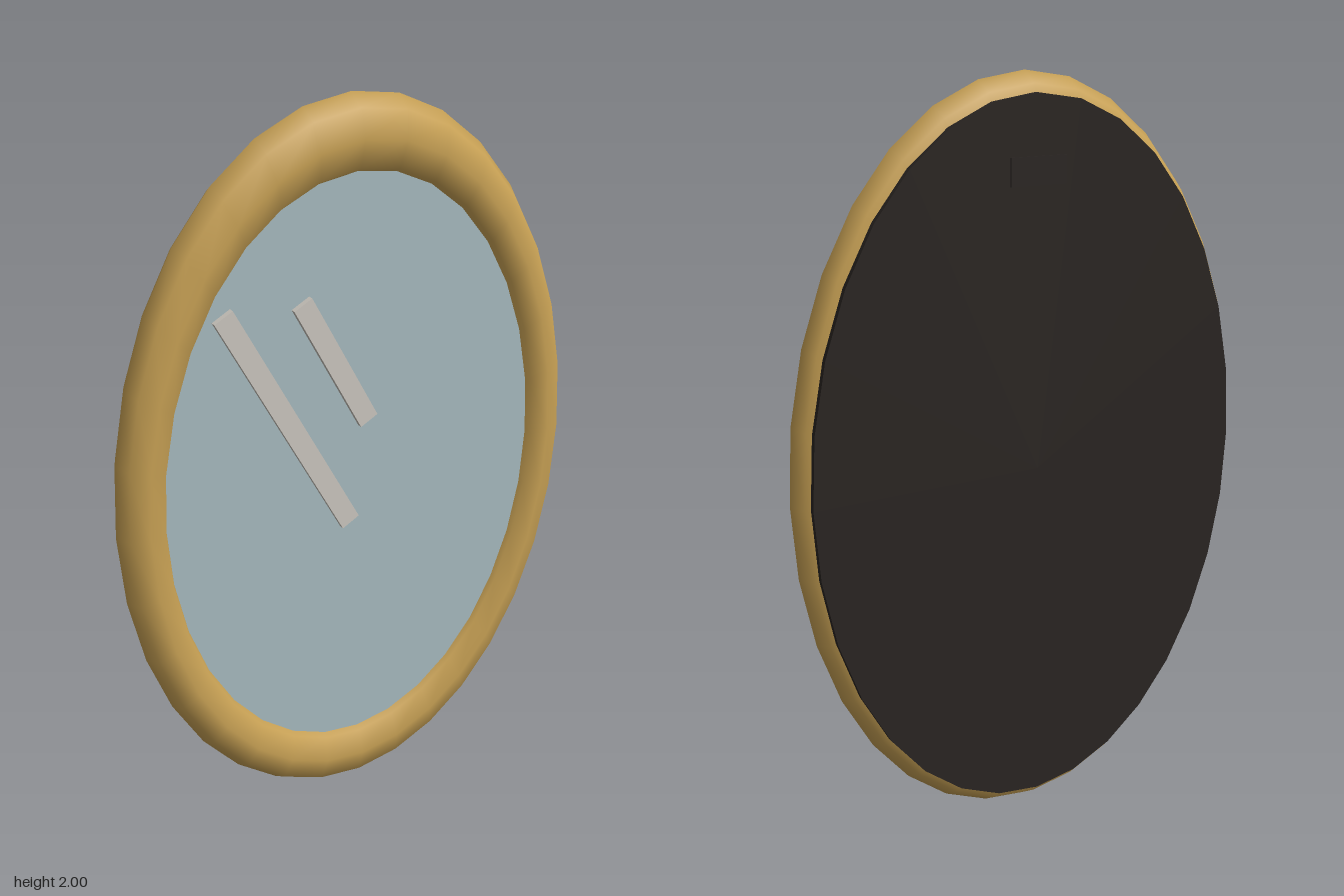
import * as THREE from 'three';

const ASPECT = 0.665; // oval width / height
const SIDES = 32;

export function createModel() {
  const model = new THREE.Group();
  model.name = 'ovalMirror';

  const add = (name, geometry, color, x, y, z, tilt = 0) => {
    const mesh = new THREE.Mesh(geometry, new THREE.MeshStandardMaterial({ color }));
    mesh.name = name;
    mesh.position.set(x, y, z);
    mesh.rotation.z = tilt;
    model.add(mesh);
  };

  // Flat oval plate lying in the xy plane
  const oval = (radius, depth) =>
    new THREE.CylinderGeometry(radius, radius, depth, SIDES)
      .rotateX(Math.PI / 2)
      .scale(ASPECT, 1, 1);

  // Rounded gilt frame
  add('frame', new THREE.TorusGeometry(0.9, 0.1, 8, SIDES).scale(ASPECT, 1, 0.63), 0xc9a255, 0, 1, 0);

  // Mirror glass and dark backing board
  add('glass', oval(0.86, 0.03), 0xa8bcc0, 0, 1, 0.015);
  add('backing', oval(0.95, 0.025), 0x2a2522, 0, 1, -0.0525);

  // Slanted reflection strips on the glass
  const tilt = 0.485;
  add('longGlint', new THREE.BoxGeometry(0.055, 0.735, 0.016), 0xcdc8c0, -0.2, 1.205, 0.037, tilt);
  add('shortGlint', new THREE.BoxGeometry(0.055, 0.4, 0.016), 0xcdc8c0, -0.067, 1.343, 0.037, tilt);

  // Hanging plate on the back
  add('hanger', new THREE.BoxGeometry(0.16, 0.07, 0.014), 0x2a2522, 0, 1.765, -0.062);

  return model;
}
